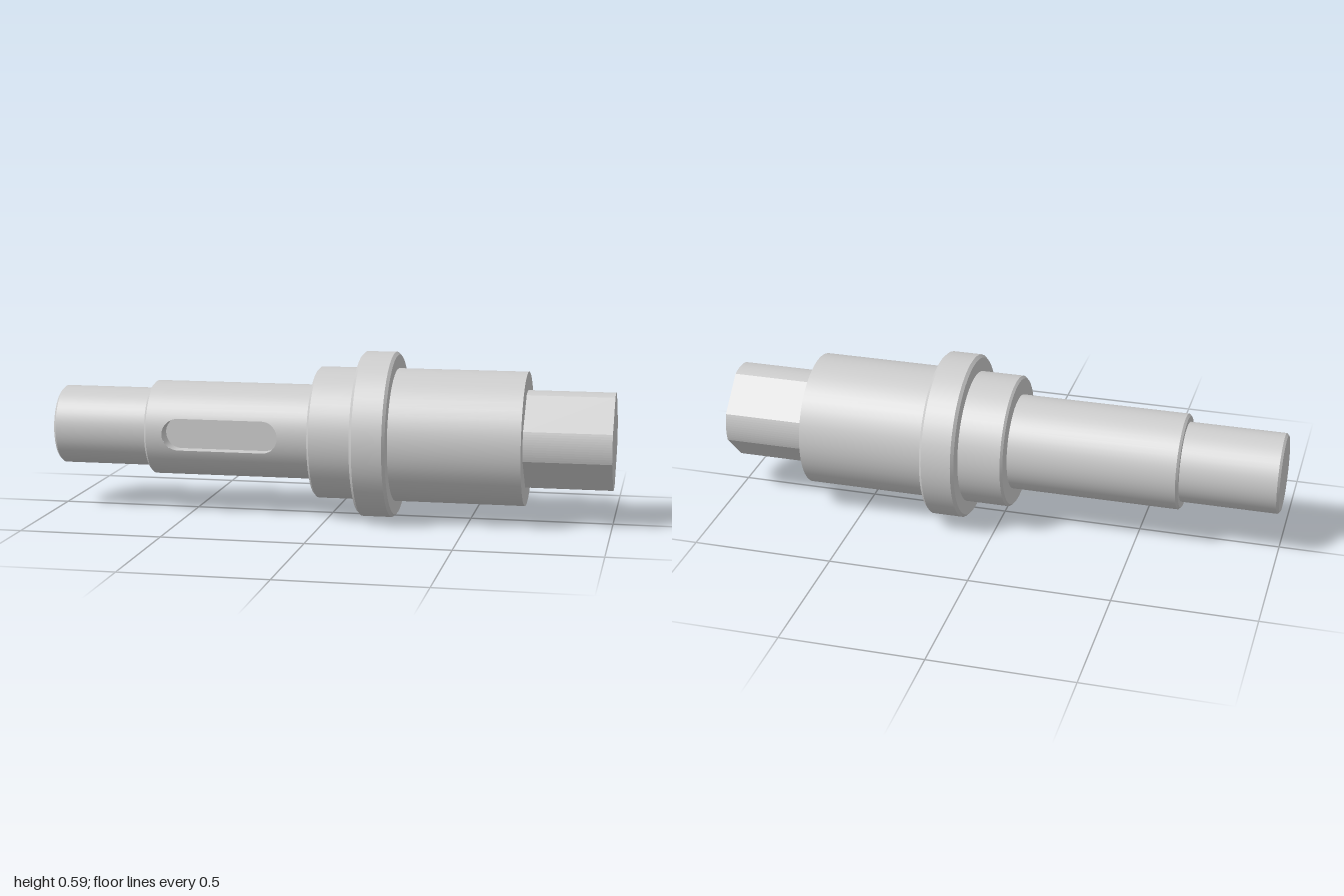
import * as THREE from 'three';
import { mergeGeometries } from 'three/addons/utils/BufferGeometryUtils.js';
import { ParametricGeometry } from 'three/addons/geometries/ParametricGeometry.js';

const AXIS_Y = 0.294;
const SEGMENTS = 48;

// Surface of revolution about x between two [x, radius] points
function ring(a, b, start = Math.PI / SEGMENTS, length = Math.PI * 2) {
  const points = [a, b].map(([x, r]) => new THREE.Vector2(r, x));
  return new THREE.LatheGeometry(points, SEGMENTS, start, length).rotateZ(-Math.PI / 2);
}

// Turned part from [x, radius] points, with a crisp edge at every point
function turned(profile) {
  return mergeGeometries(profile.slice(1).map((p, i) => ring(profile[i], p)));
}

export function createModel() {
  const group = new THREE.Group();
  const material = new THREE.MeshStandardMaterial({ color: 0xcccccc });
  const add = (name, geometry) => {
    const mesh = new THREE.Mesh(geometry, material);
    mesh.name = name;
    mesh.position.y = AXIS_Y;
    group.add(mesh);
  };

  // Plain turned steps
  add('endJournal', turned([[-1, 0], [-1, 0.133], [-0.992, 0.141], [-0.655, 0.141]]));
  add('innerShoulder', turned([[-0.05, 0.169], [-0.05, 0.227], [-0.042, 0.235], [0.11, 0.235]]));
  add('collar', turned([[0.11, 0.235], [0.11, 0.284], [0.12, 0.294], [0.225, 0.294], [0.235, 0.284], [0.235, 0.235]]));
  add('mainJournal', turned([[0.235, 0.236], [0.695, 0.236], [0.695, 0]]));

  // Keyed journal: the wall is open across the band that holds the keyway
  const r = 0.169, w = 0.057, floorZ = 0.108;
  const x0 = -0.647, x1 = -0.05;
  const slotLeft = -0.588 + w, slotRight = -0.168 - w;
  const halfBand = Math.asin(w / r);
  add('keyedJournalChamfer', turned([[-0.655, 0.141], [-0.655, 0.161], [x0, r]]));
  add('keyedJournal', ring([x0, r], [x1, r], halfBand, Math.PI * 2 - 2 * halfBand));

  // Band left and right of the keyway, meeting its round ends
  const bandPatch = (from, to) => {
    const g = new ParametricGeometry((u, v, target) => {
      const y = w * Math.cos(Math.PI * u);
      const bulge = w * Math.sin(Math.PI * u);
      target.set(THREE.MathUtils.lerp(from(bulge), to(bulge), v), y, Math.sqrt(r * r - y * y));
    }, 20, 2);
    const p = g.attributes.position;
    for (let i = 0; i < p.count; i++) g.attributes.normal.setXYZ(i, 0, p.getY(i) / r, p.getZ(i) / r);
    return g;
  };
  add('keyedJournalBand', mergeGeometries([
    bandPatch(() => x0, b => slotLeft - b),
    bandPatch(b => slotRight + b, () => x1),
  ]));

  // Keyway walls and floor
  const slot = new THREE.Shape();
  slot.absarc(slotRight, 0, w, -Math.PI / 2, Math.PI / 2);
  slot.absarc(slotLeft, 0, w, Math.PI / 2, Math.PI * 1.5);
  slot.closePath();
  add('keywayWall', new ParametricGeometry((u, v, target) => {
    const p = slot.getPoint(u);
    target.set(p.x, p.y, THREE.MathUtils.lerp(Math.sqrt(r * r - p.y * p.y), floorZ, v));
  }, 96, 1));
  add('keywayFloor', new THREE.ShapeGeometry(slot, 20).translate(0, 0, floorZ));

  // Drive end: round bar with four flats set diagonally
  const square = new THREE.Shape();
  for (let i = 0; i < 4; i++) {
    const a = i * Math.PI / 2;
    square.absarc(0, 0, 0.171, a - 0.31, a + 0.31);
  }
  square.closePath();
  add('squareDrive', new THREE.ExtrudeGeometry(square, { depth: 0.305, bevelEnabled: false, curveSegments: 6 })
    .rotateY(Math.PI / 2).translate(0.695, 0, 0));

  return group;
}
